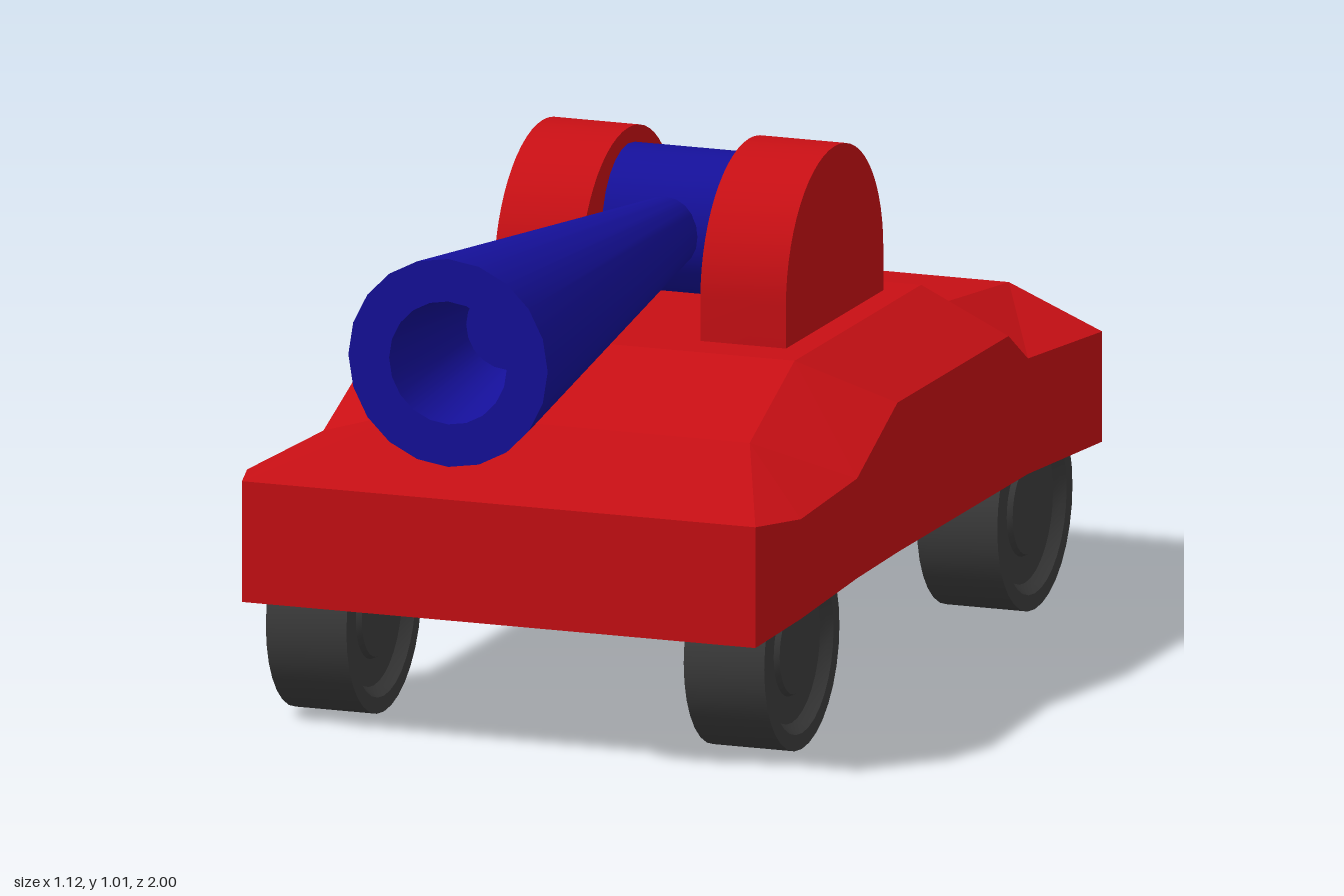
import * as THREE from 'three';
import { toCreasedNormals } from 'three/addons/utils/BufferGeometryUtils.js';

const red = new THREE.MeshStandardMaterial({ color: 0xc80f14, flatShading: true });
const redSmooth = new THREE.MeshStandardMaterial({ color: 0xc80f14 });
const blue = new THREE.MeshStandardMaterial({ color: 0x15109a });
const rubber = new THREE.MeshStandardMaterial({ color: 0x3c3c3c });

function addMesh(parent, name, geometry, material) {
  const mesh = new THREE.Mesh(geometry, material);
  mesh.name = name;
  parent.add(mesh);
  return mesh;
}

// Surface of revolution about y with sharp profile corners
function turned(profile, sides) {
  const points = profile.map(([r, y]) => new THREE.Vector2(r, y));
  return toCreasedNormals(new THREE.LatheGeometry(points, sides), 0.45);
}

// Faceted hull lofted through eight-cornered rings, front to back
function hullGeometry() {
  const low = 0.285;
  // inner x, inner top, inner bottom, inner z, outer x, outer top, outer z
  const stations = [
    [0.51, 0.485, 0.255, 0.74, 0.55, 0.475, 0.61],
    [0.34, 0.54, 0.2, 0.33, 0.53, 0.475, 0.27],
    [0.34, 0.645, 0.2, 0.1, 0.525, 0.57, 0.05],
    [0.34, 0.645, 0.2, -0.55, 0.525, 0.57, -0.52],
    [0.34, 0.585, 0.2, -0.67, 0.525, 0.505, -0.62],
    [0.34, 0.55, 0.2, -1, 0.56, 0.495, -0.91],
  ];
  const positions = [];
  for (const [ix, it, ib, iz, ox, ot, oz] of stations) {
    positions.push(
      ix, it, iz, -ix, it, iz, -ox, ot, oz, -ox, low, oz,
      -ix, ib, iz, ix, ib, iz, ox, low, oz, ox, ot, oz);
  }
  const index = [];
  const quad = (a, b, c, d) => index.push(a, b, c, a, c, d);
  for (let s = 0; s < stations.length - 1; s++) {
    for (let j = 0; j < 8; j++) {
      const k = (j + 1) % 8, a = s * 8, b = a + 8;
      quad(a + j, b + j, b + k, a + k);
    }
  }
  // Front and back ends: a centre panel and two angled corners
  const end = (stations.length - 1) * 8;
  for (const [a, b, c, d] of [[0, 1, 4, 5], [1, 2, 3, 4], [5, 6, 7, 0]]) {
    quad(a, b, c, d);
    quad(end + d, end + c, end + b, end + a);
  }
  const geometry = new THREE.BufferGeometry();
  geometry.setAttribute('position', new THREE.Float32BufferAttribute(positions, 3));
  geometry.setIndex(index);
  const flat = geometry.toNonIndexed();
  flat.computeVertexNormals();
  return flat;
}

// Upright plate with a round top
function bracketGeometry() {
  const shape = new THREE.Shape();
  shape.moveTo(-0.25, 0.58);
  shape.lineTo(0.25, 0.58);
  shape.lineTo(0.25, 0.725);
  shape.absarc(0, 0.725, 0.25, 0, Math.PI, false);
  shape.lineTo(-0.25, 0.58);
  const plate = new THREE.ExtrudeGeometry(shape, { depth: 0.17, bevelEnabled: false, curveSegments: 14 });
  plate.translate(0, 0, -0.085).rotateY(Math.PI / 2);
  return toCreasedNormals(plate, 0.45);
}

export function createModel() {
  const model = new THREE.Group();
  model.name = 'cannonCar';

  addMesh(model, 'hull', hullGeometry(), red);

  // Gun mount
  const bracket = bracketGeometry();
  for (const side of [1, -1]) {
    addMesh(model, side > 0 ? 'leftBracket' : 'rightBracket', bracket, redSmooth)
      .position.set(side * 0.205, 0, -0.235);
  }
  const pivot = turned([[0, -0.14], [0.135, -0.14], [0.135, 0.14], [0, 0.14]], 24);
  const pivotMesh = addMesh(model, 'pivot', pivot, blue);
  pivotMesh.rotation.z = Math.PI / 2;
  pivotMesh.position.set(0, 0.81, -0.235);

  // Flared barrel with a tapering bore
  const barrel = turned([
    [0, -0.2], [0.058, -0.2], [0.198, 1], [0.117, 1], [0.08, 0.7], [0, 0.7],
  ], 20);
  const barrelMesh = addMesh(model, 'barrel', barrel, blue);
  barrelMesh.rotation.x = Math.PI / 2;
  barrelMesh.position.y = 0.812;

  // Wheels, with a recessed ring and raised hub on both faces
  const face = [[0, 0.07], [0.088, 0.07], [0.093, 0.06], [0.145, 0.06], [0.155, 0.07], [0.163, 0.08], [0.193, 0.08]];
  const profile = [...face.map(([r, y]) => [r, -y]), ...face.slice().reverse()];
  const wheel = turned(profile, 32);
  for (const [end, z] of [['front', 0.463], ['rear', -0.733]]) {
    for (const side of [1, -1]) {
      const mesh = addMesh(model, `${end}${side > 0 ? 'Left' : 'Right'}Wheel`, wheel, rubber);
      mesh.rotation.z = Math.PI / 2;
      mesh.position.set(side * 0.415, 0.193, z);
    }
  }
  return model;
}
